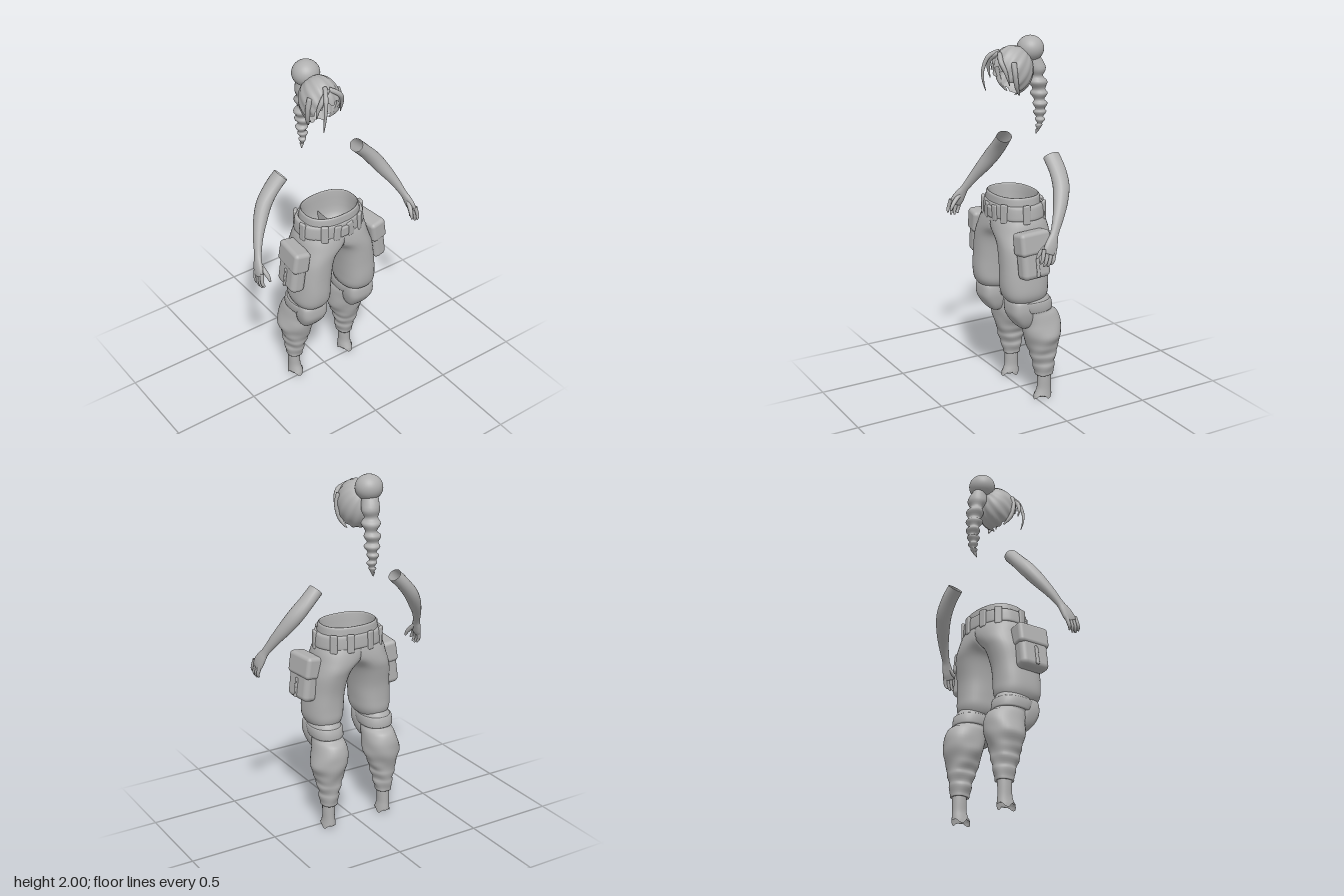
import * as THREE from 'three';
import { mergeVertices } from 'three/addons/utils/BufferGeometryUtils.js';
import { RoundedBoxGeometry } from 'three/addons/geometries/RoundedBoxGeometry.js';

const grey = new THREE.MeshStandardMaterial({ color: 0xb0b0b0, side: THREE.DoubleSide });
grey.name = 'plain grey';

// Catmull-Rom through rows of numbers
function smooth(rows, steps) {
  const out = [], at = i => rows[Math.max(0, Math.min(rows.length - 1, i))];
  for (let i = 0; i < rows.length - 1; i++) {
    for (let s = 0; s < steps; s++) {
      const t = s / steps, [a, b, c, d] = [at(i - 1), at(i), at(i + 1), at(i + 2)];
      out.push(b.map((v, k) => v + 0.5 * t * (c[k] - a[k] +
        t * (2 * a[k] - 5 * v + 4 * c[k] - d[k] + t * (3 * (v - c[k]) + d[k] - a[k])))));
    }
  }
  out.push(rows[rows.length - 1]);
  return out;
}

// Skin over rings of equal point count; optional flat caps
function skin(rings, capA, capB) {
  const n = rings[0].length, pos = [], idx = [];
  rings.forEach(r => r.forEach(p => pos.push(p.x, p.y, p.z)));
  for (let i = 0; i < rings.length - 1; i++) {
    for (let j = 0; j < n; j++) {
      const a = i * n + j, b = i * n + (j + 1) % n;
      idx.push(a, b, a + n, b, b + n, a + n);
    }
  }
  const cap = (i, flip) => {
    const c = rings[i].reduce((s, p) => s.add(p), new THREE.Vector3()).divideScalar(n);
    const k = pos.length / 3;
    pos.push(c.x, c.y, c.z);
    for (let j = 0; j < n; j++) {
      const a = i * n + j, b = i * n + (j + 1) % n;
      idx.push(k, flip ? a : b, flip ? b : a);
    }
  };
  if (capA) cap(0, false);
  if (capB) cap(rings.length - 1, true);
  const g = new THREE.BufferGeometry();
  g.setAttribute('position', new THREE.Float32BufferAttribute(pos, 3));
  g.setIndex(idx);
  g.computeVertexNormals();
  return g;
}

const sgnPow = (v, e) => Math.sign(v) * Math.abs(v) ** e;

// Level superelliptic rings, rows of [x, y, z, rx, rz], from top to bottom
function loft(rows, { n = 36, steps = 4, e = 0.85, capA, capB, minX = -9, shape } = {}) {
  const rings = smooth(rows, steps).map(([x, y, z, rx, rz]) => Array.from({ length: n }, (_, j) => {
    const a = j / n * Math.PI * 2;
    const k = shape ? shape(a, y) : 1;
    return new THREE.Vector3(Math.max(minX, x + k * rx * sgnPow(Math.cos(a), e)), y,
      z + k * rz * sgnPow(Math.sin(a), e));
  }));
  return skin(rings, capA, capB);
}

// Rings across a path, rows of [x, y, z, radius, radius across]
function limb(rows, { n = 16, steps = 4, capA, capB = true } = {}) {
  const s = smooth(rows, steps), P = s.map(r => new THREE.Vector3(r[0], r[1], r[2]));
  const rings = s.map((r, i) => {
    const T = P[Math.min(i + 1, P.length - 1)].clone().sub(P[Math.max(i - 1, 0)]).normalize();
    const N = new THREE.Vector3(1, 0, 0).addScaledVector(T, -T.x).normalize();
    const B = T.clone().cross(N);
    return Array.from({ length: n }, (_, j) => {
      const a = j / n * Math.PI * 2;
      return P[i].clone().addScaledVector(N, r[3] * Math.cos(a)).addScaledVector(B, (r[4] ?? r[3]) * Math.sin(a));
    });
  });
  return skin(rings, capA, capB);
}

function box(w, h, d, r, x, y, z, rx = 0, ry = 0, rz = 0) {
  const g = new RoundedBoxGeometry(w, h, d, 4, r);
  return g.applyMatrix4(new THREE.Matrix4().makeRotationFromEuler(new THREE.Euler(rx, ry, rz))).translate(x, y, z);
}

function mirrored(geo) {
  const g = geo.index ? geo.clone() : mergeVertices(geo);
  g.scale(-1, 1, 1);
  const a = g.index.array;
  for (let i = 0; i < a.length; i += 3) [a[i], a[i + 1]] = [a[i + 1], a[i]];
  return g;
}

export function createModel() {
  const model = new THREE.Group();
  model.name = 'figure';
  const add = (name, geo) => {
    const m = new THREE.Mesh(geo, grey);
    m.name = name;
    model.add(m);
  };
  const pair = (name, geo) => { add(name + 'Left', geo); add(name + 'Right', mirrored(geo)); };

  // Waist: hollow bowl, lip and outer band
  add('waistband', loft([
    [0, 0.99, 0.045, 0.10, 0.07], [0, 1.04, 0.045, 0.145, 0.105], [0, 1.165, 0.045, 0.155, 0.115],
    [0, 1.172, 0.045, 0.163, 0.124], [0, 1.16, 0.045, 0.168, 0.128], [0, 1.10, 0.045, 0.175, 0.132],
    [0, 1.04, 0.045, 0.195, 0.143]], { n: 48, steps: 3, capA: true }));
  // Belt, loops and buckle
  add('belt', loft([
    [0, 1.132, 0.042, 0.172, 0.128], [0, 1.13, 0.042, 0.188, 0.137], [0, 1.115, 0.042, 0.194, 0.141],
    [0, 1.075, 0.042, 0.198, 0.143], [0, 1.056, 0.042, 0.197, 0.142], [0, 1.05, 0.042, 0.18, 0.13]],
  { n: 48, steps: 2, shape: a => 1 + 0.008 * Math.cos(a * 9) }));
  for (const a of [0.15, 1.0, -0.75, -1.3]) {
    pair('beltLoop', box(0.04, 0.105, 0.02, 0.008, 0.194 * sgnPow(Math.cos(a), 0.85), 1.09,
      0.042 + 0.142 * sgnPow(Math.sin(a), 0.85), 0, Math.PI / 2 - a, 0));
  }
  add('buckle', box(0.055, 0.065, 0.03, 0.012, 0, 1.08, 0.18));
  pair('buckleWing', box(0.045, 0.09, 0.022, 0.01, 0.042, 1.08, 0.178, 0, 0.1, 0.12));

  // Thighs share the centre plane at the hips
  pair('trouserThigh', loft([
    [0, 1.07, 0.042, 0.188, 0.138], [0.04, 1.03, 0.043, 0.164, 0.147], [0.075, 0.985, 0.044, 0.138, 0.153],
    [0.112, 0.94, 0.046, 0.113, 0.153], [0.132, 0.89, 0.052, 0.107, 0.147], [0.145, 0.80, 0.062, 0.104, 0.137],
    [0.152, 0.71, 0.065, 0.104, 0.135], [0.154, 0.655, 0.063, 0.102, 0.131], [0.155, 0.622, 0.06, 0.091, 0.118],
    [0.156, 0.605, 0.055, 0.075, 0.1], [0.156, 0.60, 0.05, 0.04, 0.06]],
  { minX: 0, capB: true, shape: (a, y) => 1 + 0.012 * Math.sin(3 * a + y * 30) * Math.max(0, 0.85 - y) * 4 }));

  // Gathered lower legs
  pair('trouserShin', loft([
    [0.158, 0.63, 0.035, 0.075, 0.10], [0.161, 0.60, 0.03, 0.087, 0.112], [0.161, 0.555, 0.015, 0.085, 0.105],
    [0.161, 0.537, 0.005, 0.078, 0.098], [0.16, 0.515, -0.015, 0.085, 0.113], [0.162, 0.47, -0.033, 0.094, 0.114],
    [0.168, 0.425, -0.037, 0.101, 0.112], [0.173, 0.385, -0.04, 0.103, 0.105], [0.174, 0.345, -0.04, 0.086, 0.094],
    [0.175, 0.315, -0.04, 0.08, 0.086], [0.177, 0.285, -0.043, 0.066, 0.078], [0.177, 0.26, -0.044, 0.068, 0.076],
    [0.178, 0.225, -0.047, 0.053, 0.064], [0.178, 0.2, -0.048, 0.057, 0.063], [0.18, 0.165, -0.05, 0.046, 0.053],
    [0.18, 0.145, -0.05, 0.044, 0.05], [0.18, 0.148, -0.05, 0.03, 0.036]],
  { steps: 3, e: 0.95, shape: (a, y) => 1 + 0.03 * Math.sin(4 * a + y * 38) * Math.min(1, Math.max(0, (0.56 - y) * 5)) }));

  // Knee pads with straps round the back
  pair('kneePad', loft([
    [0.161, 0.618, 0.105, 0.055, 0.03], [0.161, 0.61, 0.11, 0.076, 0.05], [0.161, 0.57, 0.107, 0.083, 0.06],
    [0.161, 0.53, 0.098, 0.08, 0.065], [0.16, 0.485, 0.085, 0.068, 0.052], [0.159, 0.452, 0.073, 0.048, 0.034],
    [0.159, 0.445, 0.068, 0.025, 0.015]], { n: 28, e: 0.65, capA: true, capB: true }));
  pair('kneeStrap', loft([
    [0.161, 0.603, 0.03, 0.082, 0.105], [0.161, 0.598, 0.03, 0.091, 0.117], [0.161, 0.55, 0.015, 0.089, 0.11],
    [0.161, 0.543, 0.015, 0.08, 0.1]], { steps: 2 }));

  // Bare ankles, ragged at the bottom
  const ankle = loft([
    [0.182, 0.19, -0.05, 0.034, 0.04], [0.182, 0.12, -0.05, 0.034, 0.04], [0.182, 0.07, -0.049, 0.033, 0.041],
    [0.181, 0.04, -0.045, 0.036, 0.047], [0.181, 0.015, -0.04, 0.04, 0.054]], { e: 1, n: 30 });
  const p = ankle.attributes.position;
  for (let i = 0; i < p.count; i++) {
    if (p.getY(i) > 0.016) continue;
    const a = Math.atan2(p.getZ(i) + 0.04, p.getX(i) - 0.181);
    p.setY(i, 0.016 - 0.016 * Math.sin(3 * a + Math.PI));
  }
  ankle.computeVertexNormals();
  pair('ankle', ankle);

  // Cargo pockets with flaps
  pair('pocket', box(0.085, 0.245, 0.175, 0.03, 0.26, 0.885, 0.072, 0, 0.1, 0.13));
  pair('pocketFlap', box(0.098, 0.125, 0.19, 0.022, 0.25, 0.955, 0.073, 0, 0.1, 0.15));
  pair('pocketSeam', box(0.012, 0.11, 0.02, 0.005, 0.311, 0.835, 0.07, 0, 0.1, 0.13));

  // Arms, palms and fingers
  pair('arm', limb([
    [0.246, 1.412, -0.045, 0.037, 0.046], [0.305, 1.352, -0.046, 0.037, 0.047], [0.363, 1.285, -0.033, 0.04, 0.046],
    [0.41, 1.215, -0.002, 0.036, 0.04], [0.452, 1.145, 0.038, 0.026, 0.031], [0.484, 1.075, 0.08, 0.018, 0.024],
    [0.498, 1.04, 0.1, 0.018, 0.033], [0.508, 1.005, 0.118, 0.017, 0.04], [0.515, 0.978, 0.13, 0.012, 0.036]],
  { n: 20, capB: true }));
  for (let i = 0; i < 4; i++) {
    const z = 0.1 + i * 0.021, len = [0.05, 0.063, 0.066, 0.055][i], y = 0.972 + i * 0.006;
    pair('finger', limb([[0.512, y + 0.02, z - 0.004, 0.011], [0.52, y - len * 0.4, z + 0.006, 0.01],
      [0.519, y - len * 0.75, z + 0.012, 0.0085], [0.511, y - len, z + 0.017, 0.005]], { n: 10 }));
  }
  pair('thumb', limb([[0.494, 1.035, 0.11, 0.012], [0.487, 1.005, 0.143, 0.013],
    [0.48, 0.98, 0.165, 0.011], [0.476, 0.953, 0.18, 0.006]], { n: 10 }));

  // Hair shell, open toward the face, with combed ridges and a jagged rim
  const rings = [];
  for (let i = 1; i <= 24; i++) {
    rings.push(Array.from({ length: 72 }, (_, j) => {
      const f = j / 72 * Math.PI * 2;
      const t = i / 24 * (2.17 + 0.09 * Math.sin(9 * f) + 0.05 * Math.sin(5 * f + 1));
      const r = 1 + 0.03 * Math.cos(14 * f + 2 * t) * Math.sin(t / 2);
      return new THREE.Vector3(r * Math.sin(t) * Math.cos(f), r * Math.cos(t), r * Math.sin(t) * Math.sin(f));
    }));
  }
  add('hairShell', skin(rings, true).rotateX(-0.85).scale(0.104, 0.13, 0.115).translate(-0.045, 1.825, 0.02));
  // Loose locks
  const locks = [
    [[-0.06, 1.93, 0.09, 0.012], [-0.09, 1.90, 0.14, 0.012], [-0.108, 1.83, 0.163, 0.009], [-0.112, 1.77, 0.16, 0.006], [-0.108, 1.715, 0.147, 0.002]],
    [[-0.05, 1.92, 0.1, 0.012], [-0.10, 1.885, 0.125, 0.014], [-0.125, 1.83, 0.12, 0.009], [-0.125, 1.78, 0.11, 0.002]],
    [[-0.04, 1.92, 0.1, 0.012], [0.01, 1.885, 0.12, 0.014], [0.035, 1.83, 0.105, 0.01], [0.04, 1.76, 0.085, 0.002]],
    [[0.04, 1.88, 0.06, 0.015], [0.055, 1.82, 0.06, 0.014], [0.045, 1.75, 0.045, 0.012], [0.02, 1.70, 0.015, 0.004]],
    [[-0.13, 1.88, 0.06, 0.015], [-0.143, 1.82, 0.06, 0.014], [-0.135, 1.75, 0.045, 0.012], [-0.11, 1.70, 0.015, 0.004]],
  ];
  locks.forEach(l => add('hairLock', limb(l, { n: 10, capA: true })));

  // Bun and tapering braid
  const bun = new THREE.SphereGeometry(0.073, 32, 20).scale(1.02, 0.95, 1).translate(-0.048, 1.931, -0.093);
  add('hairBun', bun);
  const knots = [[1.825, -0.122, 0.052], [1.75, -0.134, 0.051], [1.685, -0.142, 0.047], [1.63, -0.147, 0.042],
    [1.582, -0.148, 0.035], [1.542, -0.147, 0.028], [1.508, -0.143, 0.02]];
  const braid = [[-0.045, 1.89, -0.108, 0.04, 0.04]];
  knots.forEach(([y, z, r], i) => {
    const x = -0.04 + 0.006 * (i % 2), next = knots[i + 1] ?? [1.48, -0.14, 0.012];
    braid.push([x, y, z, r, r], [x, (y + next[0]) / 2 - 0.006, (z + next[1]) / 2, next[2] * 0.68, next[2] * 0.7]);
  });
  braid.push([-0.045, 1.485, -0.14, 0.012, 0.011], [-0.052, 1.46, -0.132, 0.002, 0.002]);
  add('braid', loft(braid, { n: 24, e: 1, capA: true, capB: true, shape: (a, y) => 1 + 0.05 * Math.sin(2 * a + y * 50) }));

  return model;
}
